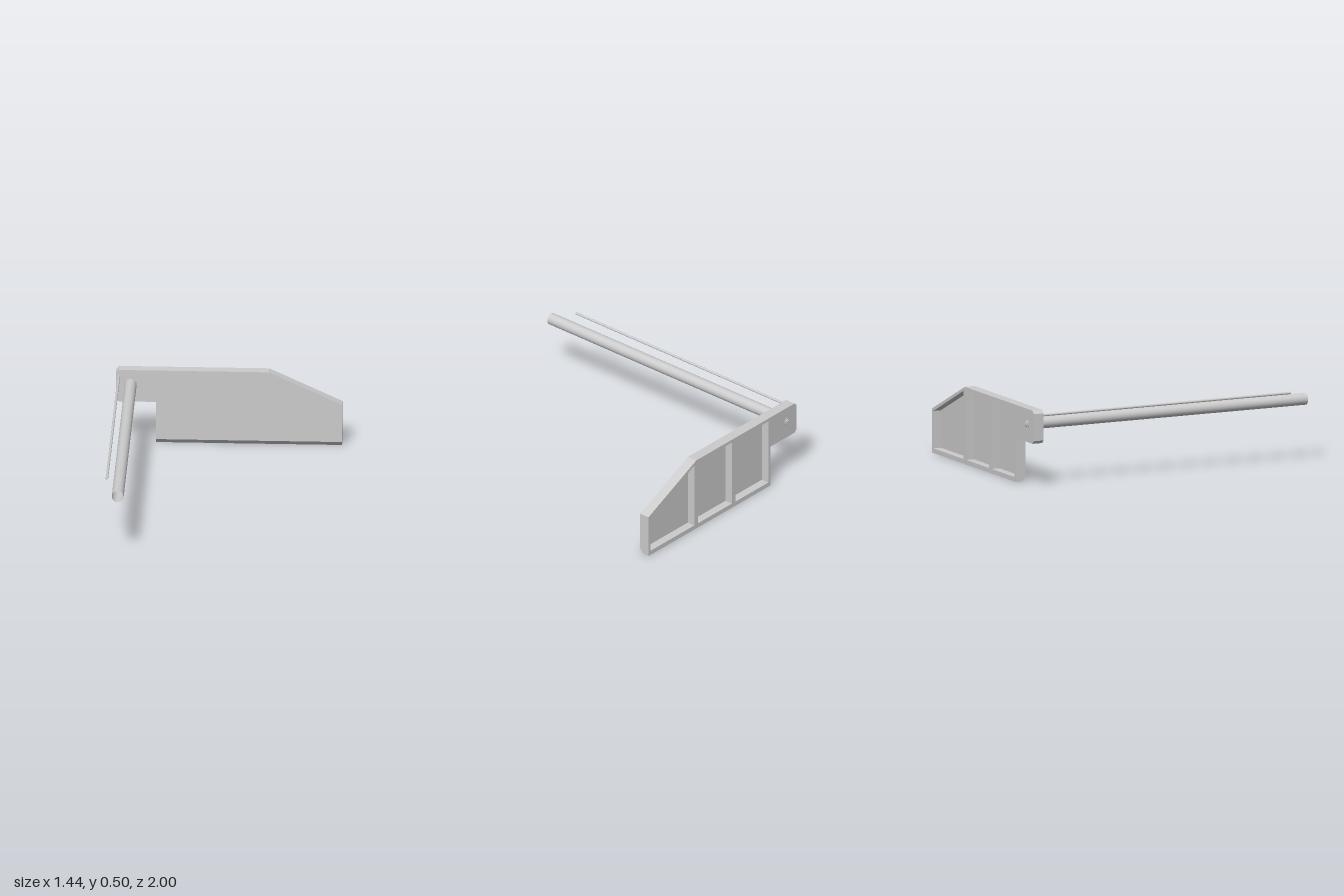
import * as THREE from 'three';

const material = new THREE.MeshStandardMaterial({ color: 0xcccccc });
const openMaterial = new THREE.MeshStandardMaterial({ color: 0xcccccc, side: THREE.DoubleSide });

const points = (list) => list.map(([x, y]) => new THREE.Vector2(x, y));

// Recesses in the back of the panel
const pockets = [
  [[0.275, 0.03], [0.7, 0.03], [0.7, 0.272], [0.275, 0.47]],
  [[-0.09, 0.03], [0.237, 0.03], [0.237, 0.48], [-0.09, 0.48]],
  [[-0.445, 0.03], [-0.125, 0.03], [-0.125, 0.48], [-0.445, 0.48]],
];

// One layer of the panel from z0 to z1; its lower edge rises from b0 to b1
function panelLayer(name, z0, z1, b0, b1, holes) {
  const shape = new THREE.Shape(points([
    [-0.465, b0], [0.72, b0], [0.72, 0.285], [0.255, 0.5], [-0.7, 0.5],
    [-0.72, 0.48], [-0.72, 0.305], [-0.7, 0.285], [-0.465, 0.285],
  ]));
  shape.holes = holes.map((h) => new THREE.Path(points(h)));
  const geometry = new THREE.ExtrudeGeometry(shape, { depth: z1 - z0, bevelEnabled: false });
  geometry.translate(0, 0, z0);
  const pos = geometry.attributes.position;
  for (let i = 0; i < pos.count; i++) {
    if (pos.getZ(i) > (z0 + z1) / 2 && Math.abs(pos.getY(i) - b0) < 1e-4) pos.setY(i, b1);
  }
  geometry.computeVertexNormals();
  const mesh = new THREE.Mesh(geometry, material);
  mesh.name = name;
  return mesh;
}

// Cylinder lying along z
function rod(name, x, y, radius, z0, z1, sides, open = false) {
  const geometry = new THREE.CylinderGeometry(radius, radius, z1 - z0, sides, 1, open);
  geometry.rotateX(Math.PI / 2);
  const mesh = new THREE.Mesh(geometry, open ? openMaterial : material);
  mesh.position.set(x, y, (z0 + z1) / 2);
  mesh.name = name;
  return mesh;
}

export function createModel() {
  const model = new THREE.Group();
  model.name = 'paddleOnPole';

  // Ribbed panel with a bevelled front lower edge
  const panel = new THREE.Group();
  panel.name = 'panel';
  panel.add(
    panelLayer('ribFrame', -0.985, -0.94, 0, 0, pockets),
    panelLayer('ribFrameBevel', -0.94, -0.93, 0, 0.012, pockets),
    panelLayer('frontSkin', -0.93, -0.915, 0.012, 0.03, []),
  );
  model.add(panel);

  // Hollow pole and the thin rod beside it
  model.add(rod('pole', -0.625, 0.403, 0.038, -0.915, 1, 32, true));
  model.add(rod('thinRod', -0.7, 0.465, 0.008, -0.915, 0.855, 16, true));

  // Fastener at the back of the arm
  const fastener = new THREE.Group();
  fastener.name = 'fastener';
  const nut = rod('nut', -0.625, 0.403, 0.019, -0.996, -0.985, 6);
  nut.material = new THREE.MeshStandardMaterial({ color: 0xcccccc, flatShading: true });
  fastener.add(
    rod('washer', -0.625, 0.403, 0.026, -0.989, -0.985, 24),
    nut,
    rod('boltEnd', -0.625, 0.403, 0.01, -1, -0.985, 16),
  );
  model.add(fastener);

  return model;
}
